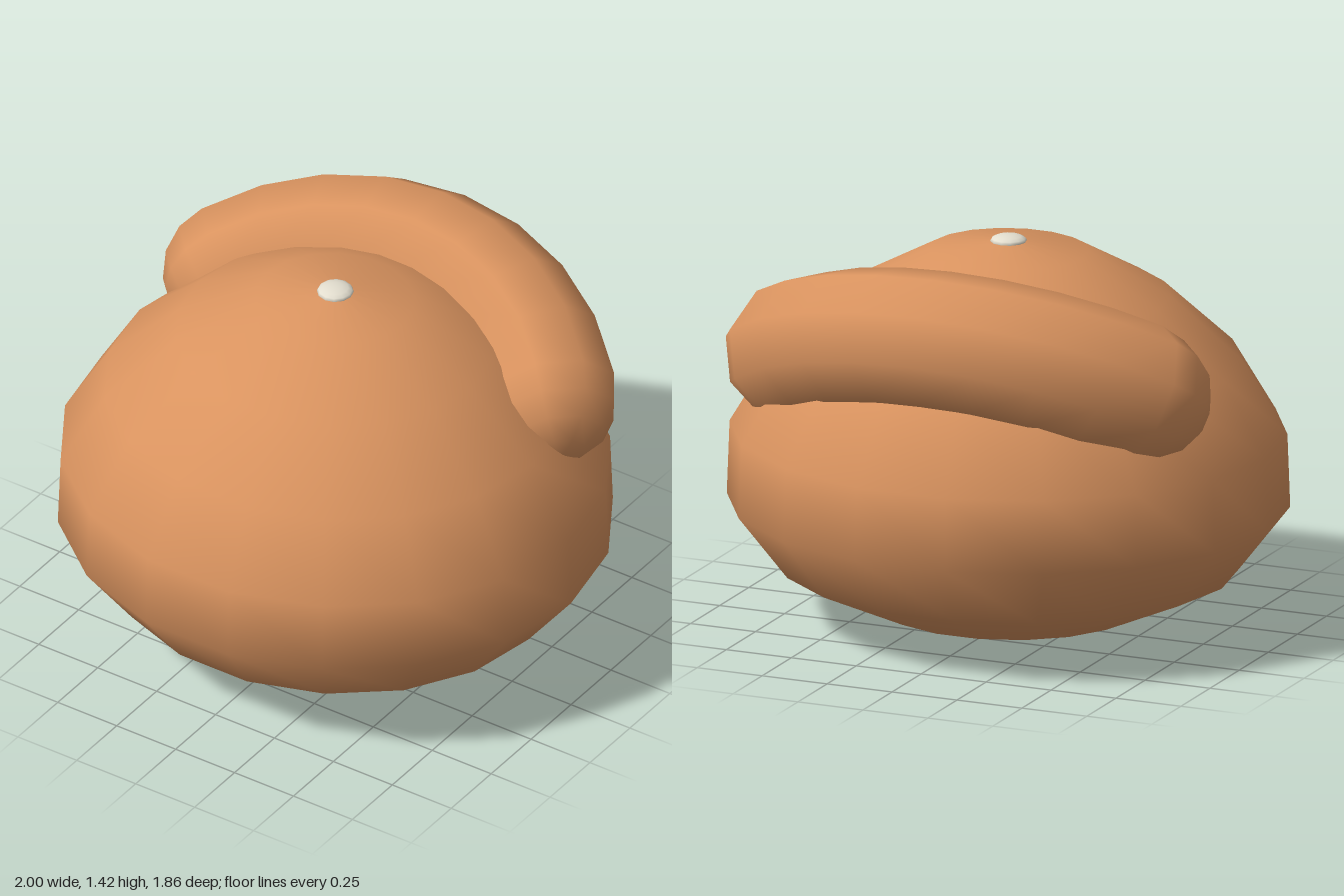
import * as THREE from 'three';

export function createModel() {
  const group = new THREE.Group();
  const clay = new THREE.MeshStandardMaterial({ color: 0xd9935f });
  const pale = new THREE.MeshStandardMaterial({ color: 0xe3decf });
  const add = (parent, name, geometry, material) => {
    const mesh = new THREE.Mesh(geometry, material);
    mesh.name = name;
    parent.add(mesh);
    return mesh;
  };

  // Rounded body: 18-sided lathe, slightly narrower front to back
  const profile = [
    [0, 0], [0.47, 0.055], [0.82, 0.21], [1, 0.44], [0.99, 0.705],
    [0.83, 0.97], [0.575, 1.2], [0.285, 1.355], [0, 1.395],
  ].map(([r, y]) => new THREE.Vector2(r, y));
  const body = new THREE.LatheGeometry(profile, 18, Math.PI / 2);
  body.scale(1, 1, 0.945);
  add(group, 'body', body, clay);

  // Small flattened bead on the crown
  const bead = add(group, 'crownBead', new THREE.SphereGeometry(0.065, 12, 8), pale);
  bead.scale.y = 0.35;
  bead.position.y = 1.388;

  // Thick curved roll across the upper back, tilted backwards
  const R = 0.86, r = 0.257, sides = 9;
  const half = THREE.MathUtils.degToRad(50);
  const tilt = THREE.MathUtils.degToRad(55);
  const roll = new THREE.Group();
  roll.name = 'backRoll';
  roll.rotation.x = -tilt;
  roll.position.set(0, 1.17 - R * Math.cos(tilt), -0.6 + R * Math.sin(tilt));
  group.add(roll);

  const arc = new THREE.TorusGeometry(R, r, sides, 8, half * 2);
  arc.rotateZ(Math.PI / 2 - half);
  add(roll, 'rollArc', arc, clay);

  // Rounded ends, with their rings aligned to the roll
  for (const side of [1, -1]) {
    const start = side > 0 ? 0 : Math.PI;
    const cap = new THREE.SphereGeometry(r, sides, 4, start, Math.PI * 2, 0, Math.PI / 2);
    cap.rotateZ(-side * (Math.PI / 2 + half));
    cap.translate(side * R * Math.sin(half), R * Math.cos(half), 0);
    add(roll, side > 0 ? 'leftRollEnd' : 'rightRollEnd', cap, clay);
  }

  return group;
}
